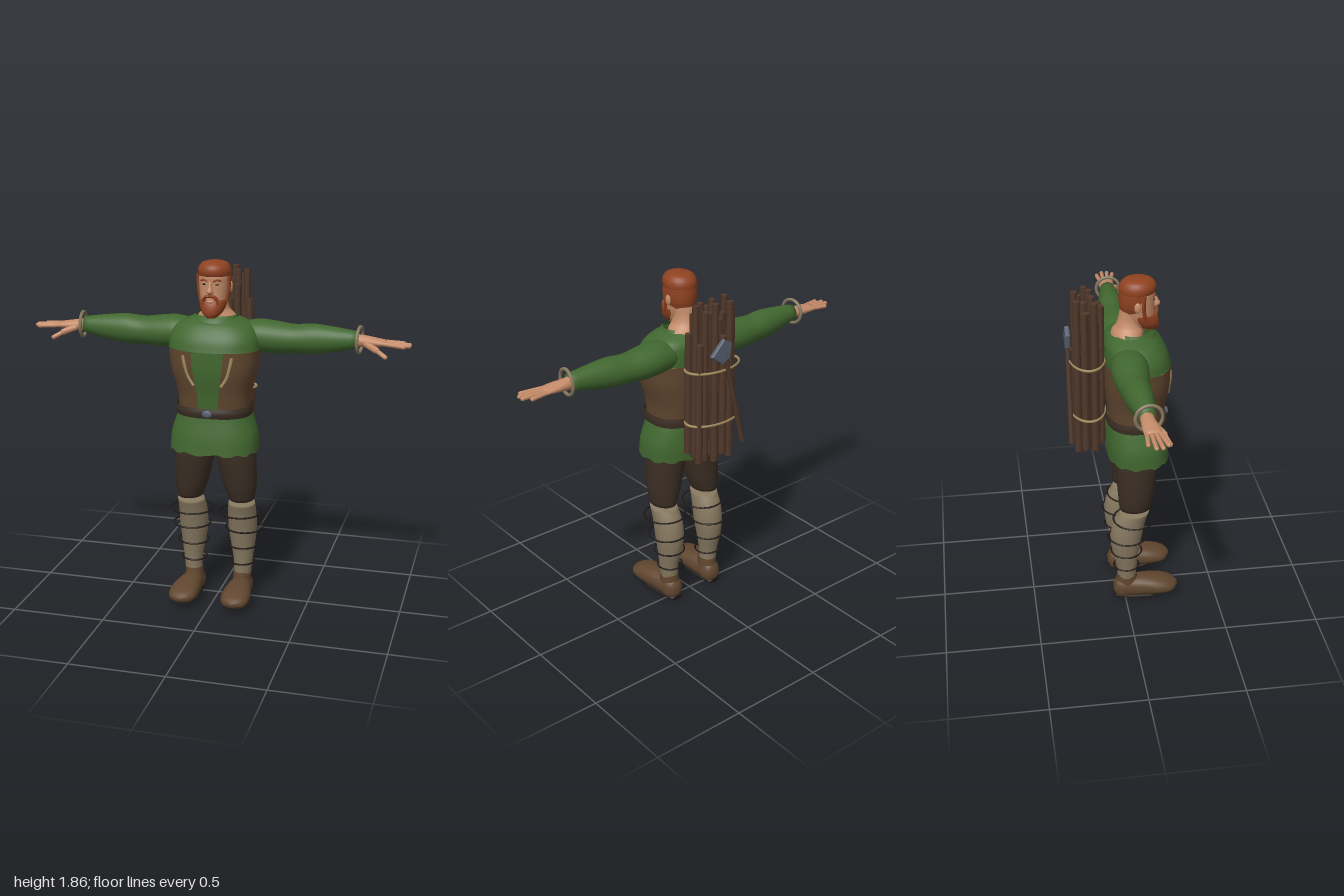
import * as THREE from 'three';

const mat = (name, color, side = THREE.DoubleSide) => {
  const m = new THREE.MeshStandardMaterial({ color, side });
  m.name = name;
  return m;
};
const green = mat('green cloth', 0x41672f), leather = mat('brown leather', 0x60462f);
const dark = mat('dark cloth', 0x3a2e24), wrap = mat('leg wrap', 0x867860);
const skin = mat('skin', 0xc48b69), hair = mat('red hair', 0x8f4220);
const wood = mat('wood', 0x50382a), steel = mat('steel', 0x566070);
const rope = mat('rope', 0xa48d5e), black = mat('black cord', 0x1f1814);

const V = (x, y, z) => new THREE.Vector3(x, y, z);

// Smooth skin through rows [height, centre x, half width, z front, z back].
// range(y) gives the angles covered (0 = front, towards +x); e < 1 squares the section.
function loft(rows, { n = 28, steps = 4, range = null, e = 1, cap = false } = {}) {
  const times = rows.map(r => r[0]);
  const spline = new THREE.CubicInterpolant(times, rows.flatMap(r => r.slice(1)), 4);
  const pos = [], idx = [], cols = range ? n + 1 : n;
  const pw = v => Math.sign(v) * Math.abs(v) ** e;
  const count = (rows.length - 1) * steps;
  for (let i = 0; i <= count; i++) {
    const k = Math.min(Math.floor(i / steps), rows.length - 2), f = i / steps - k;
    const y = times[k] + (times[k + 1] - times[k]) * f;
    const [cx, hw, zf, zb] = Array.from(spline.evaluate(y));
    const [t0, t1] = range ? range(y) : [0, Math.PI * 2];
    for (let j = 0; j < cols; j++) {
      const t = t0 + (t1 - t0) * j / n;
      pos.push(cx + hw * pw(Math.sin(t)), y, (zf + zb) / 2 + (zf - zb) / 2 * pw(Math.cos(t)));
    }
  }
  for (let i = 0; i < count; i++) for (let j = 0; j < n; j++) {
    const a = i * cols + j, b = i * cols + (j + 1) % cols;
    idx.push(a, b, a + cols, b, b + cols, a + cols);
  }
  if (cap) for (const [row, top] of [[0, false], [count, true]]) {
    const c = pos.length / 3, [cx, , zf, zb] = rows[top ? rows.length - 1 : 0].slice(1);
    pos.push(cx, top ? times.at(-1) : times[0], (zf + zb) / 2);
    for (let j = 0; j < n; j++) {
      const a = row * cols + j, b = row * cols + (j + 1) % cols;
      idx.push(c, top ? a : b, top ? b : a);
    }
  }
  const g = new THREE.BufferGeometry();
  g.setAttribute('position', new THREE.Float32BufferAttribute(pos, 3));
  g.setIndex(idx);
  g.computeVertexNormals();
  return g;
}

const place = (g, p, q) => g
  .applyQuaternion(new THREE.Quaternion().setFromUnitVectors(V(0, 1, 0), q.clone().sub(p).normalize()))
  .translate((p.x + q.x) / 2, (p.y + q.y) / 2, (p.z + q.z) / 2);
const capsule = (p, q, r) => place(new THREE.CapsuleGeometry(r, p.distanceTo(q), 4, 10), p, q);
const rod = (p, q, r0, r1, n = 8) => place(new THREE.CylinderGeometry(r1, r0, p.distanceTo(q), n), p, q);
const ball = (x, y, z, a, b, c) => new THREE.SphereGeometry(1, 16, 12).scale(a, b, c).translate(x, y, z);
const tube = (pts, r, n = 16) => new THREE.TubeGeometry(new THREE.CatmullRomCurve3(pts), n, r, 6);
// Horizontal elliptical hoop
const hoop = (x, y, z, rx, rz, r) =>
  new THREE.TorusGeometry(1, r / rx, 6, 40).rotateX(Math.PI / 2).scale(rx, rx, rz).translate(x, y, z);

function mirrored(g) {
  const m = g.clone().scale(-1, 1, 1), a = m.index.array;
  for (let i = 0; i < a.length; i += 3) [a[i], a[i + 1]] = [a[i + 1], a[i]];
  m.computeVertexNormals();
  return m;
}

export function createModel() {
  const model = new THREE.Group();
  const add = (name, g, m) => {
    const mesh = new THREE.Mesh(g, m);
    mesh.name = name;
    model.add(mesh);
    return mesh;
  };
  const pair = (name, g, m) => {
    add('left ' + name, g, m);
    add('right ' + name, mirrored(g), m);
  };

  // Tunic: skirt with uneven hem, vest with green front panel, shoulders, collar
  const skirt = loft([[0.86, 0, 0.232, 0.245, -0.083], [0.95, 0, 0.228, 0.235, -0.085],
    [1.03, 0, 0.205, 0.22, -0.08], [1.09, 0, 0.185, 0.21, -0.07]], { n: 40, e: 0.8 });
  const sp = skirt.attributes.position;
  for (let j = 0; j < 40; j++) sp.setY(j, 0.867 + 0.008 * Math.sin(j * 1.9));
  add('tunic skirt', skirt, green);
  const trunk = [[1.08, 0, 0.185, 0.215, -0.07], [1.18, 0, 0.193, 0.225, -0.08],
    [1.3, 0, 0.225, 0.245, -0.092], [1.41, 0, 0.238, 0.247, -0.092]];
  const edge = y => 0.19 + (y - 1.08) * 0.28;
  add('leather vest', loft(trunk, { n: 40, e: 0.8, range: y => [edge(y), Math.PI * 2 - edge(y)] }), leather);
  add('front panel', loft(trunk, { n: 8, e: 0.8, range: y => [-edge(y), edge(y)] }), green);
  add('tunic shoulders', loft([[1.41, 0, 0.238, 0.247, -0.092], [1.47, 0, 0.232, 0.228, -0.092],
    [1.53, 0, 0.19, 0.185, -0.078], [1.565, 0, 0.115, 0.14, -0.04]], { n: 40, e: 0.85 }), green);
  add('collar', loft([[1.52, 0, 0.13, 0.175, -0.05], [1.55, 0, 0.122, 0.172, -0.045],
    [1.578, 0, 0.108, 0.145, -0.03]], { range: () => [-2.2, 2.2] }), green);

  // Belt and buckle
  add('belt', loft([[1.062, 0, 0.197, 0.232, -0.083], [1.088, 0, 0.2, 0.238, -0.086],
    [1.114, 0, 0.195, 0.232, -0.083]], { n: 40, e: 0.8 }), dark);
  add('buckle', ball(0, 1.088, 0.238, 0.026, 0.02, 0.009), steel);

  // Curved horn toggles on the chest
  pair('horn toggle', tube([V(0.128, 1.39, 0.222), V(0.118, 1.34, 0.225), V(0.1, 1.28, 0.222), V(0.072, 1.235, 0.224)]
    .map(p => p.add(V(0, 0, 0.008))), 0.009), rope);

  // Sleeves, lofted along x
  pair('sleeve', loft([[0.13, -1.46, 0.075, 0.1, -0.07], [0.22, -1.465, 0.085, 0.105, -0.085],
    [0.3, -1.46, 0.084, 0.098, -0.085], [0.4, -1.457, 0.075, 0.085, -0.072], [0.5, -1.462, 0.078, 0.082, -0.062],
    [0.6, -1.466, 0.066, 0.075, -0.045], [0.73, -1.472, 0.043, 0.06, -0.022]], { cap: true })
    .rotateZ(-Math.PI / 2), green);
  pair('bracelet', new THREE.TorusGeometry(0.065, 0.009, 8, 32).rotateY(Math.PI / 2 - 0.1)
    .translate(0.738, 1.474, 0.025), wrap);

  // Hands
  pair('palm', loft([[0.7, -1.47, 0.033, 0.05, -0.015], [0.77, -1.468, 0.029, 0.055, -0.018],
    [0.82, -1.467, 0.022, 0.066, -0.02], [0.875, -1.465, 0.015, 0.068, -0.018]], { n: 16, cap: true })
    .rotateZ(-Math.PI / 2), skin);
  [[0.055, 0.078, 0.965], [0.036, 0.05, 0.988], [0.015, 0.02, 0.989], [-0.005, -0.012, 0.955]].forEach(([z0, z1, tip], i) =>
    pair('finger ' + (i + 1), capsule(V(0.86, 1.466, z0), V(tip, 1.461, z1), 0.011), skin));
  pair('thumb base', capsule(V(0.775, 1.458, 0.045), V(0.83, 1.437, 0.08), 0.017), skin);
  pair('thumb', capsule(V(0.83, 1.437, 0.08), V(0.878, 1.41, 0.101), 0.012), skin);

  // Neck and head
  add('neck', loft([[1.5, 0, 0.125, 0.1, -0.06], [1.565, 0, 0.1, 0.11, -0.052],
    [1.605, 0, 0.065, 0.105, -0.028], [1.7, 0, 0.058, 0.1, -0.005]]), skin);
  add('head', loft([[1.58, 0, 0.035, 0.16, 0.07], [1.61, 0, 0.055, 0.168, 0.04], [1.65, 0, 0.066, 0.168, 0.012],
    [1.7, 0, 0.074, 0.166, 0.002], [1.75, 0, 0.078, 0.166, -0.003], [1.79, 0, 0.077, 0.165, -0.003],
    [1.825, 0, 0.06, 0.14, 0.015], [1.842, 0, 0.02, 0.1, 0.05]], { cap: true, e: 0.92 }), skin);
  add('nose', loft([[1.697, 0, 0.015, 0.186, 0.15], [1.708, 0, 0.017, 0.196, 0.15],
    [1.73, 0, 0.01, 0.186, 0.15], [1.758, 0, 0.007, 0.172, 0.15]], { n: 12, cap: true }), skin);
  pair('ear', ball(0.082, 1.722, 0.07, 0.01, 0.028, 0.018), skin);
  pair('eye', ball(0.031, 1.744, 0.158, 0.012, 0.005, 0.005), black);
  pair('eyebrow', tube([V(0.013, 1.757, 0.168), V(0.032, 1.767, 0.162), V(0.052, 1.76, 0.148)], 0.005, 8), hair);

  // Hair swept back, sideburns, beard and moustache
  add('hair top', loft([[1.782, 0, 0.084, 0.168, -0.014], [1.805, 0, 0.085, 0.174, -0.014],
    [1.83, 0, 0.075, 0.166, -0.002], [1.848, 0, 0.052, 0.14, 0.025], [1.856, 0, 0.015, 0.1, 0.065]],
    { cap: true }), hair);
  add('hair back', loft([[1.675, 0, 0.066, 0.16, -0.004], [1.71, 0, 0.079, 0.165, -0.013],
    [1.75, 0, 0.084, 0.168, -0.016], [1.785, 0, 0.084, 0.168, -0.014]],
    { range: y => [1.25 + (1.785 - y) * 5, Math.PI * 2 - 1.25 - (1.785 - y) * 5] }), hair);
  pair('sideburn', tube([V(0.08, 1.785, 0.103), V(0.078, 1.73, 0.1), V(0.07, 1.68, 0.105), V(0.06, 1.64, 0.115)], 0.011), hair);
  add('beard', loft([[1.574, 0, 0.025, 0.18, 0.11], [1.59, 0, 0.045, 0.189, 0.075], [1.62, 0, 0.063, 0.189, 0.045],
    [1.652, 0, 0.071, 0.178, 0.03], [1.664, 0, 0.072, 0.168, 0.03]], { cap: true, e: 0.92 }), hair);
  pair('moustache', tube([V(0, 1.687, 0.176), V(0.022, 1.682, 0.174), V(0.036, 1.665, 0.168), V(0.038, 1.64, 0.168)], 0.009), hair);
  add('lips', ball(0, 1.658, 0.174, 0.02, 0.007, 0.009), skin);

  // Breeches, wrapped shins, cords and shoes
  pair('breeches leg', loft([[0.583, 0.142, 0.066, 0.135, -0.03], [0.65, 0.134, 0.085, 0.152, -0.036],
    [0.75, 0.122, 0.098, 0.168, -0.043], [0.86, 0.108, 0.106, 0.178, -0.052], [1.0, 0.09, 0.1, 0.17, -0.055]],
    { cap: true }), dark);
  pair('shin wrap', loft([[0.09, 0.135, 0.044, 0.06, -0.04], [0.2, 0.14, 0.05, 0.064, -0.045],
    [0.3, 0.138, 0.064, 0.075, -0.068], [0.4, 0.136, 0.076, 0.092, -0.078], [0.5, 0.137, 0.075, 0.112, -0.06],
    [0.562, 0.14, 0.071, 0.13, -0.025]], { cap: true }), wrap);
  [[0.205, 0.133, 0.008, 0.068], [0.305, 0.137, 0.008, 0.083], [0.405, 0.146, 0.012, 0.1], [0.505, 0.132, 0.05, 0.112]]
    .forEach(([y, x, z, r], i) => pair('shin cord ' + (i + 1), hoop(x, y, z, r, r, 0.0045), black));
  pair('shoe', loft([[-0.062, 0.135, 0.02, -0.035, -0.08], [-0.045, 0.135, 0.044, -0.006, -0.112],
    [0.03, 0.136, 0.056, -0.004, -0.122], [0.12, 0.14, 0.07, -0.012, -0.126], [0.2, 0.143, 0.077, -0.018, -0.115],
    [0.265, 0.144, 0.058, -0.032, -0.092], [0.29, 0.144, 0.02, -0.05, -0.075]], { cap: true, e: 0.9 })
    .rotateX(Math.PI / 2), leather);
  pair('shoe sole', loft([[-0.055, 0.135, 0.035, 0, -0.025], [0.05, 0.136, 0.055, 0, -0.025],
    [0.16, 0.142, 0.066, -0.008, -0.035]], { cap: true, n: 16 }).rotateX(Math.PI / 2), black);
  pair('shoe ankle', loft([[0.07, 0.135, 0.052, 0.075, -0.05], [0.12, 0.135, 0.049, 0.068, -0.046],
    [0.15, 0.136, 0.047, 0.063, -0.043]]), leather);

  // Bundle of sticks: x, z, bottom, top
  [[-0.1, -0.15, 0.94, 1.77], [-0.105, -0.2, 0.95, 1.72], [-0.065, -0.235, 0.92, 1.77], [-0.055, -0.185, 0.93, 1.7],
    [-0.06, -0.14, 0.95, 1.64], [-0.02, -0.11, 0.94, 1.72], [-0.015, -0.155, 0.93, 1.77], [-0.02, -0.205, 0.96, 1.68],
    [0.03, -0.238, 0.92, 1.78], [0.03, -0.19, 0.94, 1.72], [0.025, -0.135, 0.93, 1.62], [0.07, -0.115, 0.95, 1.7],
    [0.065, -0.16, 0.92, 1.77], [0.075, -0.215, 0.93, 1.74], [0.107, -0.18, 0.94, 1.77], [0.128, -0.15, 0.96, 1.62],
    [0.118, -0.225, 0.93, 1.58], [-0.02, -0.24, 0.95, 1.6]].forEach(([x, z, y0, y1], i) =>
    add('stick ' + (i + 1), rod(V(x * 1.04, y0, z), V(x, y1, z), 0.021, 0.018), wood));
  for (const y of [1.14, 1.43]) add('bundle rope', hoop(0, y, -0.18, 0.16, 0.093, 0.007), rope);

  // Axe strapped across the bundle
  add('axe handle', rod(V(-0.125, 1.0, -0.277), V(0.01, 1.57, -0.277), 0.014, 0.012), wood);
  const blade = new THREE.Shape([[0.012, 1.6], [-0.035, 1.57], [-0.022, 1.5], [0.02, 1.475], [0.085, 1.525]]
    .map(p => new THREE.Vector2(...p)));
  add('axe head', new THREE.ExtrudeGeometry(blade, { depth: 0.012, bevelThickness: 0.006, bevelSize: 0.003, bevelSegments: 1 })
    .translate(0, 0, -0.283), steel);
  return model;
}
